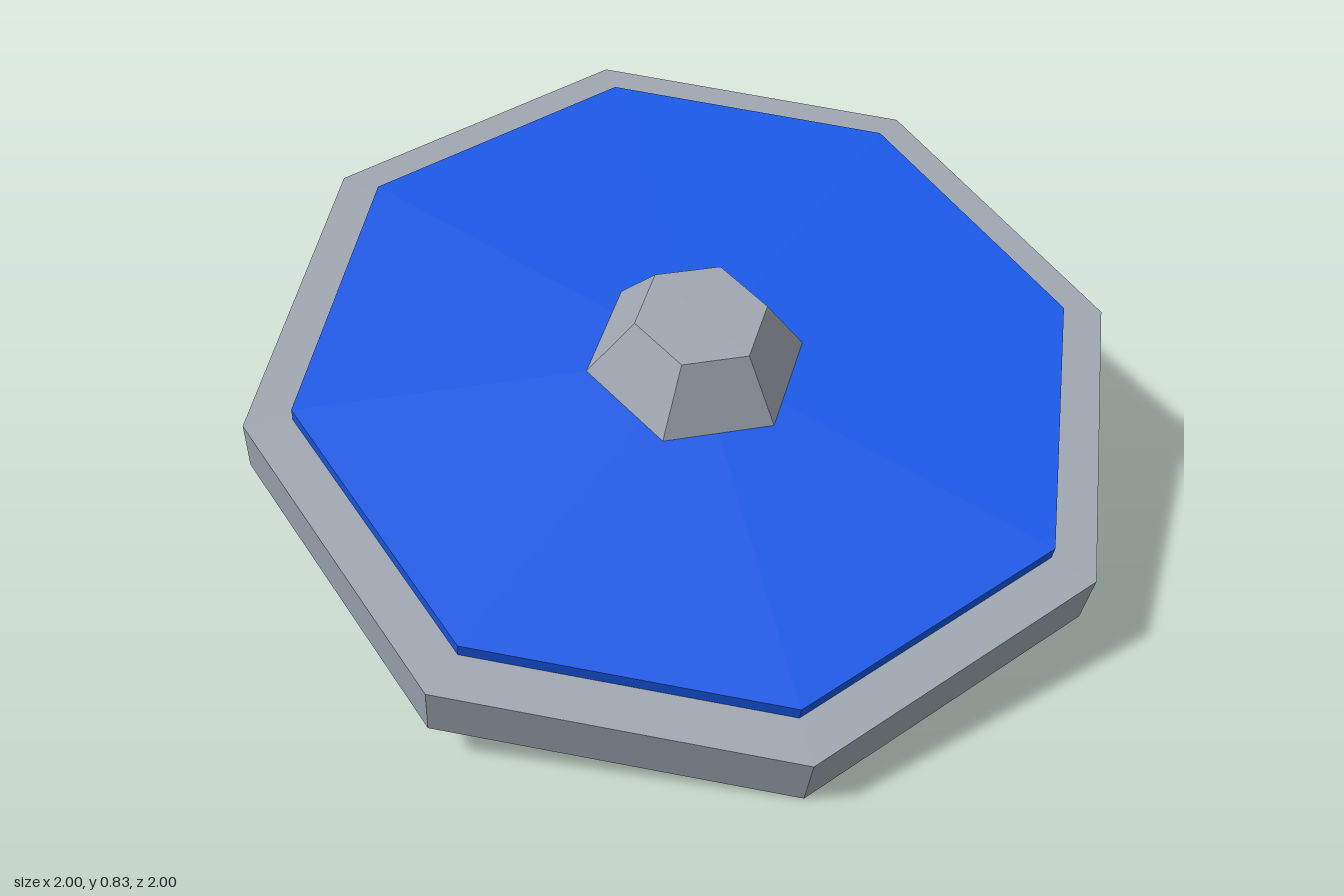
import * as THREE from 'three';

export function createModel() {
  const grey = new THREE.MeshStandardMaterial({ color: 0x9ea6b0 });
  grey.name = 'metal grey';
  const darkGrey = new THREE.MeshStandardMaterial({ color: 0x5c6063 });
  darkGrey.name = 'underside dark grey';
  const blue = new THREE.MeshStandardMaterial({ color: 0x185aec });
  blue.name = 'panel blue';

  const model = new THREE.Group();
  model.name = 'tiltedDisc';

  // Stacks a faceted prism on the disc axis, its base at height y
  function prism(name, rTop, rBottom, height, sides, y, turn, material) {
    const geometry = new THREE.CylinderGeometry(rTop, rBottom, height, sides).toNonIndexed();
    geometry.computeVertexNormals(); // flat facets
    geometry.rotateY(turn).translate(0, y + height / 2, 0);
    const mesh = new THREE.Mesh(geometry, material);
    mesh.name = name;
    model.add(mesh);
  }

  // Base materials: side, top, underside
  prism('base', 1.014, 1.014, 0.145, 8, 0, Math.PI / 4, [grey, grey, darkGrey]);
  prism('panel', 0.907, 0.907, 0.035, 8, 0.145, Math.PI / 4, blue);
  prism('hub', 0.152, 0.254, 0.148, 6, 0.18, Math.PI * 0.75, grey);

  // Lean 20 degrees toward the front left corner, resting on the lowest corner
  const axis = new THREE.Vector3(1, 0, -1).normalize();
  model.quaternion.setFromAxisAngle(axis, THREE.MathUtils.degToRad(20));
  model.position.set(-0.017, 0.347, -0.017);

  const root = new THREE.Group();
  root.add(model);
  return root;
}
